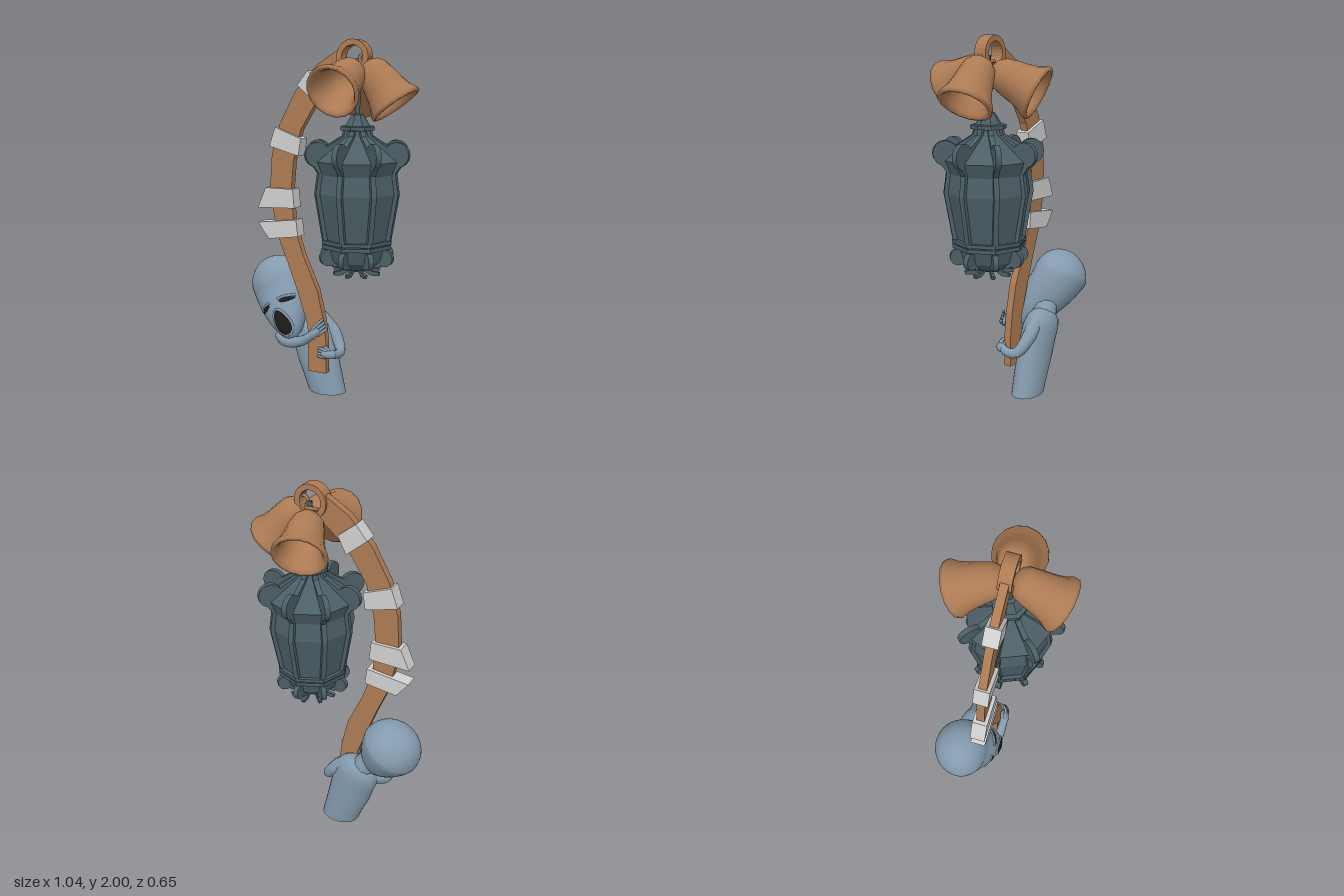
import * as THREE from 'three';

const mat = (name, color, extra = {}) => {
  const m = new THREE.MeshStandardMaterial({ color, ...extra });
  m.name = name;
  return m;
};
const V = (p) => new THREE.Vector3(...p);

export function createModel() {
  const root = new THREE.Group();
  root.name = 'lanternHolder';
  const copper = mat('copper brown', 0xad7b54, { side: THREE.DoubleSide });
  const iron = mat('dark iron', 0x4c5f66, { side: THREE.DoubleSide });
  const silver = mat('silver', 0xd0d0d0);
  const skin = mat('blue grey skin', 0x849bae);
  const dark = mat('near black', 0x1c1c1c, { side: THREE.DoubleSide });

  const add = (name, geo, material, parent = root) => {
    const m = new THREE.Mesh(geo, material);
    m.name = name;
    parent.add(m);
    return m;
  };
  const flat = (geo) => {
    const g = geo.index ? geo.toNonIndexed() : geo;
    g.computeVertexNormals();
    return g;
  };
  const vec2 = (pts) => pts.map((p) => new THREE.Vector2(...p));
  const plate = (shape, depth) =>
    new THREE.ExtrudeGeometry(shape, { depth, bevelEnabled: false, curveSegments: 10 }).translate(0, 0, -depth / 2);
  const moveVertices = (geo, rule) => {
    const p = geo.attributes.position;
    for (let i = 0; i < p.count; i++) p.setXYZ(i, ...rule(p.getX(i), p.getY(i), p.getZ(i)));
    geo.computeVertexNormals();
    return geo;
  };

  // Curved wooden staff
  add('staff', plate(new THREE.Shape(vec2([
    [-0.1, 0.15], [0.015, 0.15], [0.015, 0.33], [0, 0.46], [-0.04, 0.63], [-0.13, 0.83], [-0.185, 1.0],
    [-0.2, 1.18], [-0.185, 1.35], [-0.14, 1.52], [-0.04, 1.68], [0.07, 1.78], [0.13, 1.83], [0.09, 1.95],
    [-0.04, 1.87], [-0.17, 1.73], [-0.27, 1.55], [-0.32, 1.38], [-0.335, 1.17], [-0.29, 0.93],
    [-0.22, 0.76], [-0.16, 0.6], [-0.1, 0.42],
  ])), 0.042), copper);

  // Silver clips around the staff
  [
    [[-0.087, 1.84], [-0.15, 1.762], [-0.034, 1.667], [0.013, 1.762]],
    [[-0.288, 1.535], [-0.325, 1.429], [-0.145, 1.381], [-0.13, 1.476]],
    [[-0.352, 1.196], [-0.405, 1.08], [-0.172, 1.09], [-0.182, 1.196]],
    [[-0.405, 0.995], [-0.336, 0.905], [-0.15, 0.931], [-0.161, 1.026]],
  ].forEach((q) => add('staffClip', plate(new THREE.Shape(vec2(q)), 0.08), silver));

  // Hanging ring at the tip
  const ring = new THREE.Shape().absarc(0, 0, 0.09, 0, Math.PI * 2);
  ring.holes.push(new THREE.Path().absarc(0, 0, 0.06, 0, Math.PI * 2, true));
  add('tipRing', new THREE.ExtrudeGeometry(ring, { depth: 0.068, bevelEnabled: false, curveSegments: 12 })
    .translate(0.17, 1.91, -0.034), copper);

  // Three bells
  const bellGeo = new THREE.LatheGeometry(vec2([
    [0.001, -0.03], [0.05, -0.04], [0.075, -0.1], [0.092, -0.18], [0.115, -0.255], [0.128, -0.275],
    [0.143, -0.272], [0.143, -0.255], [0.122, -0.215], [0.108, -0.165], [0.096, -0.1], [0.083, -0.045],
    [0.06, -0.015], [0.03, 0], [0.001, 0.003],
  ]), 16);
  [
    ['frontBell', [0.18, 1.85, 0.02], [0.165, 1.735, 0.26]],
    ['sideBell', [0.24, 1.88, 0], [0.4, 1.665, -0.008]],
    ['backBell', [0.18, 1.83, -0.02], [0.11, 1.71, -0.26]],
  ].forEach(([name, top, mouth]) => {
    const g = new THREE.Group();
    g.name = name;
    g.position.set(...top);
    g.quaternion.setFromUnitVectors(new THREE.Vector3(0, -1, 0), V(mouth).sub(V(top)).normalize());
    add('bellCup', bellGeo, copper, g);
    add('bellLoop', new THREE.TorusGeometry(0.03, 0.01, 6, 10), copper, g).position.y = 0.02;
    root.add(g);
  });

  // Lantern: eight-sided body with fins on the corners
  const lantern = new THREE.Group();
  lantern.name = 'lantern';
  lantern.position.x = 0.19;
  root.add(lantern);
  const oct = (name, pts) => add(name, flat(new THREE.LatheGeometry(vec2(pts), 8)), iron, lantern);
  oct('lanternBody', [[0.001, 0.77], [0.09, 0.785], [0.145, 0.83], [0.165, 0.9], [0.178, 0.95], [0.222, 1.2],
    [0.208, 1.3], [0.235, 1.37], [0.072, 1.5], [0.06, 1.53]]);
  oct('lowerBand', [[0.15, 0.905], [0.198, 0.905], [0.198, 0.925], [0.188, 0.925], [0.188, 0.932], [0.2, 0.932],
    [0.2, 0.95], [0.15, 0.95]]);
  oct('lanternCap', [[0.05, 1.525], [0.095, 1.53], [0.095, 1.55], [0.07, 1.553], [0.035, 1.61], [0.001, 1.62]]);
  add('hangingRod', new THREE.CylinderGeometry(0.014, 0.014, 0.3, 8), iron, lantern).position.set(0, 1.75, 0);

  const rib = plate(new THREE.Shape(vec2([
    [0.04, 1.53], [0.075, 1.53], [0.085, 1.5], [0.25, 1.4], [0.25, 1.35], [0.222, 1.31], [0.238, 1.2],
    [0.195, 0.95], [0.175, 0.88], [0.14, 0.8], [0.1, 0.8], [0.15, 0.95], [0.19, 1.2], [0.18, 1.33],
  ])), 0.028);
  const disc = (r, x, y) => new THREE.CylinderGeometry(r, r, 0.028, 16).rotateX(Math.PI / 2).translate(x, y, 0);
  const upperEar = disc(0.066, 0.227, 1.408);
  const lowerEar = disc(0.046, 0.166, 0.853);
  const claw = plate(new THREE.Shape(vec2([
    [0, 0.81], [0.07, 0.8], [0.09, 0.775], [0.135, 0.77], [0.13, 0.752], [0.085, 0.75], [0.05, 0.77], [0, 0.76],
  ])), 0.018);
  for (let i = 0; i < 8; i++) {
    const fin = new THREE.Group();
    fin.name = 'lanternFin';
    fin.rotation.y = (i * Math.PI) / 4;
    add('rib', rib, iron, fin);
    add('upperEar', upperEar, iron, fin);
    add('lowerEar', lowerEar, iron, fin);
    add('bottomClaw', claw, iron, fin);
    lantern.add(fin);
  }

  // Creature torso: y, centre x, centre z, half width, half depth, sideways tilt
  const sections = [
    [0, -0.037, -0.105, 0.113, 0.084, 0], [0.1, -0.067, -0.107, 0.118, 0.088, 0.05],
    [0.2, -0.1, -0.11, 0.125, 0.09, 0.15], [0.3, -0.125, -0.115, 0.125, 0.09, 0.25],
    [0.37, -0.15, -0.12, 0.125, 0.09, 0.3], [0.42, -0.165, -0.125, 0.11, 0.08, 0.35],
    [0.45, -0.175, -0.125, 0.075, 0.06, 0.35], [0.47, -0.18, -0.125, 0.02, 0.02, 0.35],
  ];
  const n = sections.length - 1;
  add('torso', moveVertices(new THREE.CylinderGeometry(1, 1, 1, 28, n), (x, y, z) => {
    const [sy, cx, cz, rx, rz, tilt] = sections[Math.round((y + 0.5) * n)];
    return [cx + x * rx, sy + x * rx * tilt, cz + z * rz];
  }), skin);

  // Tapered limb along a smooth path, with rounded ends
  const limb = (name, pts, r0, r1) => {
    const curve = new THREE.CatmullRomCurve3(pts.map(V));
    const steps = 14, sides = 10;
    const geo = new THREE.TubeGeometry(curve, steps, 1, sides);
    const p = geo.attributes.position;
    for (let i = 0; i < p.count; i++) {
      const t = Math.floor(i / (sides + 1)) / steps;
      const c = curve.getPointAt(t);
      const v = new THREE.Vector3().fromBufferAttribute(p, i).sub(c).multiplyScalar(r0 + (r1 - r0) * t).add(c);
      p.setXYZ(i, v.x, v.y, v.z);
    }
    const g = new THREE.Group();
    g.name = name;
    add('limb', geo, skin, g);
    [[pts[0], r0], [pts[pts.length - 1], r1]].forEach(([q, r]) =>
      add('joint', new THREE.SphereGeometry(r, 12, 8), skin, g).position.set(...q));
    root.add(g);
  };
  limb('neck', [[-0.17, 0.4, -0.12], [-0.22, 0.47, -0.11], [-0.27, 0.54, -0.1]], 0.075, 0.06);
  limb('leftArm', [[-0.075, 0.415, -0.13], [0, 0.345, -0.13], [0.055, 0.262, -0.085], [0.058, 0.258, -0.02], [0.045, 0.272, 0.02]], 0.045, 0.022);
  limb('rightArm', [[-0.24, 0.36, -0.1], [-0.295, 0.325, -0.03], [-0.23, 0.308, 0.025], [-0.13, 0.33, 0.045], [-0.06, 0.375, 0.05]], 0.045, 0.024);
  limb('leftPalm', [[0.05, 0.27, 0.02], [0.035, 0.272, 0.032], [0.015, 0.275, 0.036]], 0.026, 0.024);
  limb('rightPalm', [[-0.065, 0.372, 0.05], [-0.045, 0.39, 0.05], [-0.025, 0.405, 0.045]], 0.025, 0.026);
  for (let i = 0; i < 4; i++) {
    const s = i - 1.5;
    limb('leftFinger', [[0.025, 0.274 + s * 0.013, 0.04], [0, 0.278 + s * 0.016, 0.042], [-0.025, 0.276 + s * 0.016, 0.032]], 0.01, 0.007);
    limb('rightFinger', [[-0.035 + s * 0.01, 0.4 - s * 0.011, 0.052], [-0.006 + s * 0.01, 0.428 - s * 0.014, 0.052],
      [0.012 + s * 0.008, 0.446 - s * 0.017, 0.035]], 0.01, 0.007);
  }
  limb('leftThumb', [[0.04, 0.285, 0.03], [0.03, 0.3, 0.03], [0.01, 0.31, 0.03]], 0.012, 0.008);
  limb('rightThumb', [[-0.06, 0.385, 0.055], [-0.05, 0.41, 0.055], [-0.03, 0.43, 0.045]], 0.012, 0.008);

  // Head: round skull drawn down and forward into a narrow chin
  const head = new THREE.Group();
  head.name = 'head';
  head.position.set(-0.35, 0.605, -0.11);
  head.rotation.z = 0.55;
  root.add(head);
  const width = (t) => 0.17 * (1 - 0.25 * t);
  add('skull', moveVertices(new THREE.SphereGeometry(1, 36, 28), (x, y, z) => {
    const t = Math.max(0, -y);
    return [x * width(t), y * (y > 0 ? 0.17 : 0.32), z * (z > 0 ? 0.14 : 0.168) + 0.13 * t];
  }), skin, head);

  // Face details follow the skull surface
  const faceZ = (x, y) => {
    const t = Math.max(0, -y / 0.32);
    return Math.sqrt(Math.max(0, 1 - (x / width(t)) ** 2 - t * t)) * 0.14 + 0.13 * t;
  };
  const patch = (name, cx, cy, rx, ry, bend) =>
    add(name, moveVertices(new THREE.RingGeometry(0.01, 1, 24, 5), (x, y) => {
      const px = cx + x * rx * (1 - 0.2 * y), py = cy + y * ry + bend * x;
      return [px, py, faceZ(px, py) + 0.005];
    }), dark, head);
  patch('mouth', 0.008, -0.205, 0.045, 0.078, 0);
  for (const s of [-1, 1]) {
    patch('eye', 0.01 + s * 0.075, -0.1, 0.04, 0.013, -s * 0.012);
    const brow = [-0.045, 0, 0.045].map((d) => {
      const x = 0.01 + s * 0.072 + d, y = -0.08 - s * d * 0.3 - d * d * 4;
      return new THREE.Vector3(x, y, faceZ(x, y));
    });
    add('brow', new THREE.TubeGeometry(new THREE.CatmullRomCurve3(brow), 10, 0.008, 8), skin, head);
  }
  const lip = Array.from({ length: 16 }, (_, i) => {
    const a = (i / 16) * Math.PI * 2, y = -0.205 + Math.sin(a) * 0.08;
    const x = 0.008 + Math.cos(a) * 0.047 * (1 - 0.2 * Math.sin(a));
    return new THREE.Vector3(x, y, faceZ(x, y));
  });
  add('lip', new THREE.TubeGeometry(new THREE.CatmullRomCurve3(lip, true), 32, 0.008, 8, true), skin, head);

  return root;
}
